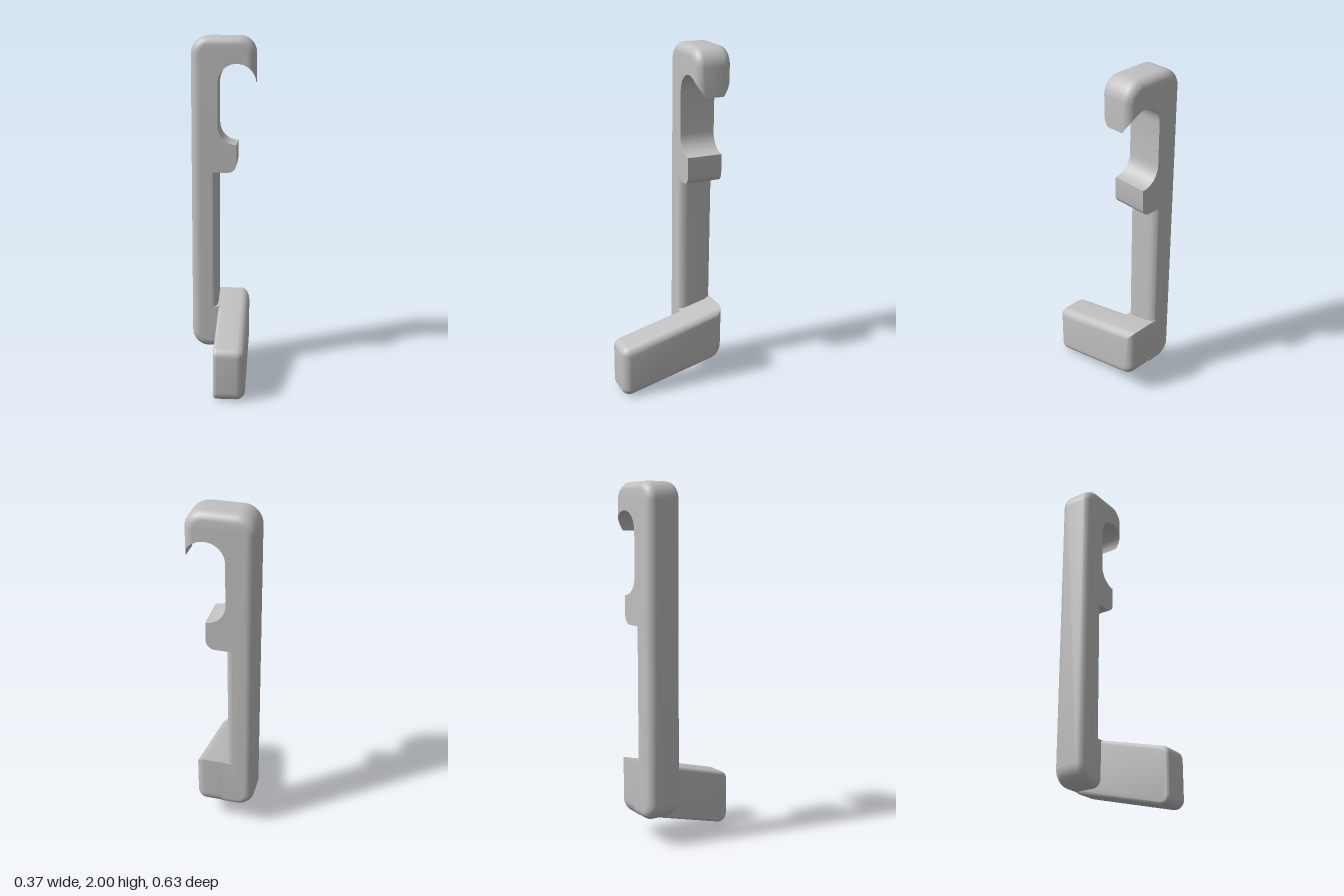
import * as THREE from 'three';
import { toCreasedNormals } from 'three/addons/utils/BufferGeometryUtils.js';

const SEG = 8;

function arc(cx, cy, r, from, to, n = SEG) {
  return Array.from({ length: n + 1 }, (_, i) => {
    const a = from + ((to - from) * i) / n;
    return new THREE.Vector2(cx + r * Math.cos(a), cy + r * Math.sin(a));
  });
}

// Skin counter-clockwise outlines along z; r0 and r1 round the two rims.
function loft(outline, z0, z1, r0, r1) {
  const layers = [];
  const addLayer = (z, inset) => layers.push({ z, pts: outline(inset, z) });
  for (let i = 0; i <= SEG; i++) {
    const t = (i / SEG) * Math.PI / 2;
    addLayer(z0 + r0 * (1 - Math.cos(t)), r0 * (1 - Math.sin(t)));
  }
  for (let i = SEG; i >= 0; i--) {
    const t = (i / SEG) * Math.PI / 2;
    addLayer(z1 - r1 * (1 - Math.cos(t)), r1 * (1 - Math.sin(t)));
  }
  const n = layers[0].pts.length, pos = [], index = [];
  layers.forEach(({ z, pts }) => pts.forEach(p => pos.push(p.x, p.y, z)));
  for (let k = 0; k < layers.length - 1; k++) {
    for (let i = 0; i < n; i++) {
      const a = k * n + i, b = k * n + (i + 1) % n;
      index.push(a, b, b + n, a, b + n, a + n);
    }
  }
  const top = (layers.length - 1) * n;
  for (const [a, b, c] of THREE.ShapeUtils.triangulateShape(layers[0].pts, [])) index.push(a, c, b);
  for (const [a, b, c] of THREE.ShapeUtils.triangulateShape(layers[layers.length - 1].pts, [])) {
    index.push(top + a, top + b, top + c);
  }
  const geo = new THREE.BufferGeometry();
  geo.setAttribute('position', new THREE.Float32BufferAttribute(pos, 3));
  geo.setIndex(index);
  return toCreasedNormals(geo, 0.5);
}

// Upright with hook, slot, catch and slim stem; only outer and stem edges shrink.
function uprightOutline(d, z) {
  const V = (x, y) => new THREE.Vector2(x, y);
  const P = Math.PI, r = 0.108, cx = 0.077;
  const tip = Math.acos(Math.min(1, (0.185 - d - cx) / r));
  const stemX = -0.03 - 0.7 * d;
  const footTop = 0.413 + (-0.11 - z) * 0.256;
  return [
    ...arc(-0.085, 1.9, 0.1 - d, P, P / 2),
    ...arc(0.085, 1.9, 0.1 - d, P / 2, 0),
    ...arc(cx, 1.74, r, tip, P, 2 * SEG),
    ...arc(cx, 1.498, r, P, 1.5 * P),
    ...arc(0.027, 1.28, 0.05, 0, -P / 2),
    V(stemX, 1.23), V(stemX, footTop), V(0, footTop), V(0, 0.15 + d),
    ...arc(-0.085, 0.25, 0.1 - d, -P / 2, -P),
  ].reverse();
}

// Convex outline with corners [x, y, radius], moved inward by d.
function roundedPolygon(corners, d) {
  const n = corners.length;
  const c = corners.map(([x, y]) => new THREE.Vector2(x, y));
  const dir = c.map((p, i) => c[(i + 1) % n].clone().sub(p).normalize());
  return corners.flatMap(([, , radius], i) => {
    const e0 = dir[(i + n - 1) % n], e1 = dir[i];
    const turn = Math.acos(e0.dot(e1));
    const r = Math.max(radius - d, 0);
    const bisector = e1.clone().sub(e0).normalize();
    const centre = c[i].clone().addScaledVector(bisector, (d + r) / Math.cos(turn / 2));
    const start = Math.atan2(-e0.x, e0.y);
    return arc(centre.x, centre.y, r, start, start + turn);
  });
}

export function createModel() {
  const group = new THREE.Group();
  const grey = new THREE.MeshStandardMaterial({ color: 0xc0c0c0 });
  grey.name = 'light grey';

  const upright = new THREE.Mesh(loft(uprightOutline, -0.315, -0.11, 0.05, 0.05), grey);
  upright.name = 'hookedUpright';

  // Sloping foot, drawn from the side and turned to face forward
  const footCorners = [
    [-0.315, -0.01, 0.05],
    [0.315, 0.15, 0.09],
    [0.315, 0.466, 0],
    [-0.315, 0.305, 0.05],
  ];
  const footGeo = loft(d => roundedPolygon(footCorners, d), -0.027, 0.152, 0.02, 0.05);
  footGeo.rotateY(Math.PI / 2);
  const foot = new THREE.Mesh(footGeo, grey);
  foot.name = 'slopingFoot';

  group.add(upright, foot);
  return group;
}
